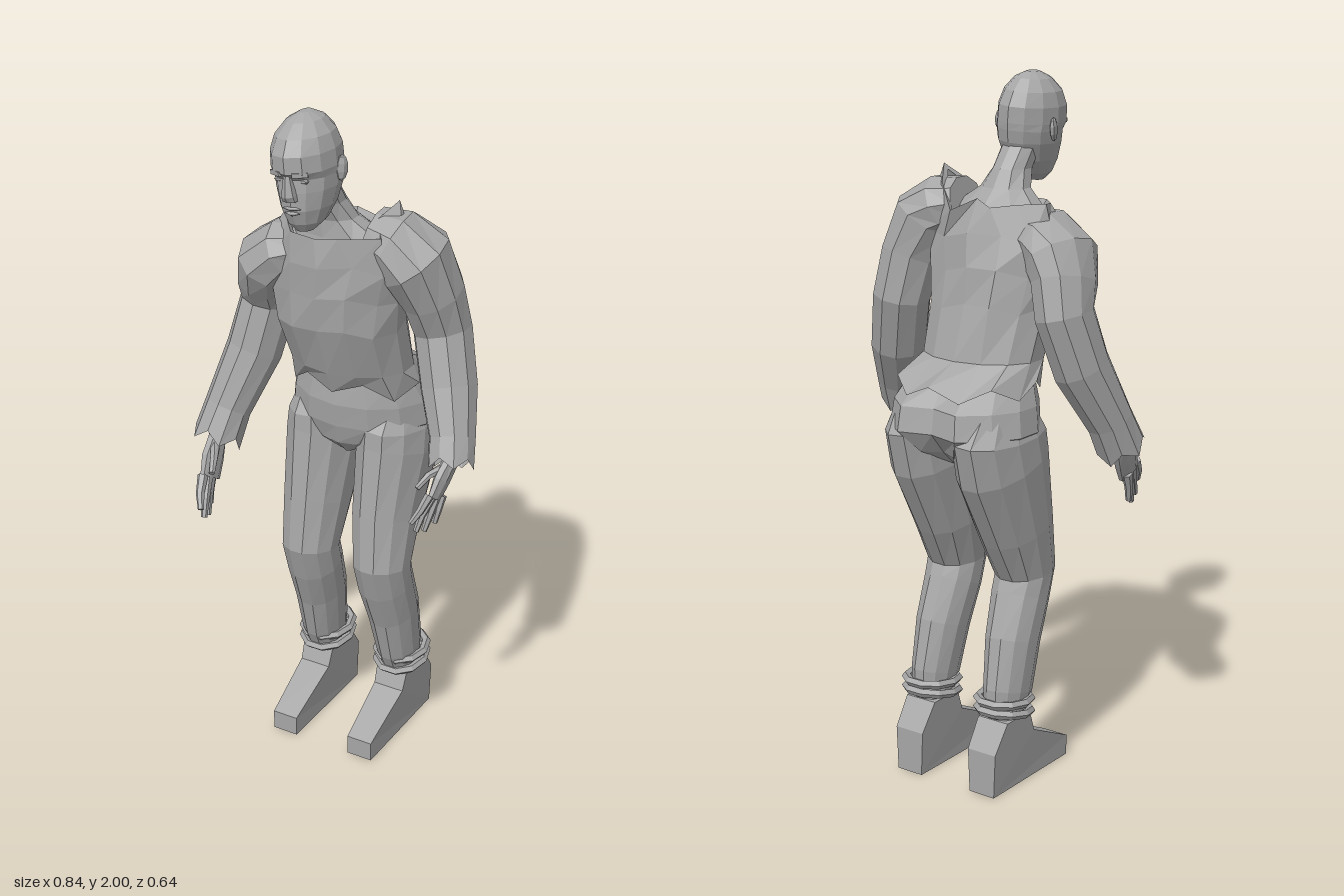
import * as THREE from 'three';

const grey = new THREE.MeshStandardMaterial({ color: 0xa6a6a6, flatShading: true, side: THREE.DoubleSide });
grey.name = 'plain grey';
const V = (x, y, z) => new THREE.Vector3(x, y, z);

export function createModel() {
  const model = new THREE.Group();
  model.name = 'stoopingMan';

  const add = (name, geo, parent = model) => {
    const m = new THREE.Mesh(geo, grey);
    m.name = name;
    parent.add(m);
    return m;
  };

  // Skin a list of rings (arrays of points); ends are closed on request
  function loft(rings, capStart = true, capEnd = true) {
    const n = rings[0].length, pos = [];
    const tri = (...p) => p.forEach(v => pos.push(v.x, v.y, v.z));
    for (let r = 0; r + 1 < rings.length; r++) {
      for (let i = 0; i < n; i++) {
        const j = (i + 1) % n, a = rings[r], b = rings[r + 1];
        tri(a[i], a[j], b[j]);
        tri(a[i], b[j], b[i]);
      }
    }
    const cap = (ring, flip) => {
      const c = ring.reduce((s, p) => s.add(p), V(0, 0, 0)).divideScalar(n);
      for (let i = 0; i < n; i++) {
        const p = ring[i], q = ring[(i + 1) % n];
        flip ? tri(c, q, p) : tri(c, p, q);
      }
    };
    if (capStart) cap(rings[0], true);
    if (capEnd) cap(rings[rings.length - 1], false);
    const g = new THREE.BufferGeometry();
    g.setAttribute('position', new THREE.Float32BufferAttribute(pos, 3));
    g.computeVertexNormals();
    return g;
  }

  // Level ring, starting at the front and turning towards +x
  const level = (n, y, cx, cz, rx, rz, rule) => Array.from({ length: n }, (_, i) => {
    const a = i / n * Math.PI * 2;
    const p = V(cx + Math.sin(a) * rx, y, cz + Math.cos(a) * rz);
    if (rule) rule(p, i);
    return p;
  });

  // Limb through stations [x, y, z, sideRadius, depthRadius]
  function limb(st, n, jag = 0, capEnd = true) {
    const pts = st.map(s => V(s[0], s[1], s[2]));
    const rings = st.map((s, k) => {
      const t = pts[Math.min(k + 1, pts.length - 1)].clone().sub(pts[Math.max(k - 1, 0)]).normalize();
      const v = V(0, 0, 1).addScaledVector(t, -t.z).normalize();
      const u = v.clone().cross(t);
      return Array.from({ length: n }, (_, i) => {
        const a = (i + 0.5) / n * Math.PI * 2;
        const p = pts[k].clone().addScaledVector(u, Math.cos(a) * s[3]).addScaledVector(v, Math.sin(a) * s[4]);
        if (jag && k === st.length - 1) p.addScaledVector(t, i % 2 ? jag : -jag);
        return p;
      });
    });
    return loft(rings, true, capEnd);
  }

  // Head, rolled slightly about its own centre: [y, front z, back z, half width]
  const head = new THREE.Group();
  head.name = 'head';
  head.rotation.z = 0.08;
  head.position.set(0.148, 0.008, 0);
  model.add(head);
  add('skull', loft([
    [1.695, 0.215, 0.16, 0.025], [1.72, 0.235, 0.11, 0.052], [1.76, 0.25, 0.07, 0.07],
    [1.81, 0.252, 0.045, 0.083], [1.845, 0.25, 0.038, 0.087], [1.865, 0.268, 0.036, 0.089],
    [1.91, 0.268, 0.036, 0.087], [1.95, 0.245, 0.055, 0.075], [1.983, 0.205, 0.085, 0.048], [2.0, 0.165, 0.12, 0.015],
  ].map(([y, f, b, w]) => level(12, y, -0.03, (f + b) / 2, w, (f - b) / 2))), head);
  add('nose', loft([
    level(6, 1.79, -0.03, 0.25, 0.022, 0.016), level(6, 1.805, -0.03, 0.254, 0.021, 0.021),
    level(6, 1.86, -0.03, 0.256, 0.01, 0.008)]), head);
  for (const [name, y, r] of [['upperLip', 1.768, 0.03], ['lowerLip', 1.755, 0.025]]) {
    const lip = add(name, new THREE.OctahedronGeometry(1), head);
    lip.scale.set(r, 0.008, 0.012);
    lip.position.set(-0.03, y, 0.246);
  }
  for (const s of [-1, 1]) {
    const brow = add('brow', new THREE.BoxGeometry(0.042, 0.012, 0.014), head);
    brow.position.set(-0.03 + s * 0.035, 1.863, 0.249);
    brow.rotation.set(0, s * 0.5, s * -0.05);
    const eye = add('eye', new THREE.IcosahedronGeometry(1), head);
    eye.scale.set(0.016, 0.008, 0.008);
    eye.position.set(-0.03 + s * 0.037, 1.842, 0.236);
    const ear = add('ear', new THREE.SphereGeometry(1, 6, 5), head);
    ear.scale.set(0.011, 0.034, 0.021);
    ear.position.set(-0.03 + s * 0.089, 1.852, 0.132);
    ear.rotation.set(-0.2, s * -0.35, 0);
  }

  // Neck flaring into the upper chest inside the collar
  add('neck', loft([
    level(10, 1.56, -0.01, 0.015, 0.18, 0.105), level(10, 1.64, -0.015, 0.025, 0.14, 0.08),
    level(10, 1.69, -0.02, 0.045, 0.075, 0.06), level(10, 1.74, -0.025, 0.07, 0.055, 0.06),
    level(10, 1.8, -0.03, 0.105, 0.055, 0.055)]));

  // Shirt with ragged hem and torn, lopsided collar
  const fold = (p, i) => { p.z += Math.sin(i * 2.3 + p.y * 17) * 0.008; p.y += Math.sin(i * 1.9) * 0.014; };
  const collar = [
    [-0.02, 1.65, 0.145], [0.05, 1.66, 0.14], [0.16, 1.67, 0.1], [0.12, 1.7, 0.05], [0.16, 1.745, 0],
    [0.125, 1.7, -0.055], [0.06, 1.635, -0.105], [-0.01, 1.67, -0.075], [-0.06, 1.65, -0.085], [-0.13, 1.66, -0.05],
    [-0.2, 1.665, -0.02], [-0.18, 1.66, 0.03], [-0.14, 1.655, 0.08], [-0.1, 1.65, 0.13],
  ].map(p => V(...p));
  add('shirt', loft([
    level(14, 1.165, -0.01, -0.115, 0.205, 0.185, (p, i) => { p.y += (i % 2 ? 0.02 : -0.018) + Math.max(0, p.z) * 0.3; }),
    level(14, 1.235, -0.01, -0.045, 0.185, 0.14),
    level(14, 1.38, -0.015, 0, 0.19, 0.15, fold),
    level(14, 1.48, -0.015, 0.012, 0.205, 0.142, fold),
    level(14, 1.57, -0.005, 0.02, 0.22, 0.13, fold),
    collar], false, false));
  // Rolled-in collar edge
  add('collarEdge', loft([collar, collar.map(p => V(p.x * 0.92, p.y - 0.018, p.z * 0.9 + 0.002))], false, false));

  // Trouser seat, narrowing to the crotch, with a crease at the back
  const crease = (p, i) => { if (i === 7) p.z += 0.03; if (i === 6 || i === 8) p.z -= 0.015; };
  add('trouserSeat', loft([
    level(14, 0.94, -0.015, -0.1, 0.03, 0.08),
    level(14, 0.99, -0.015, -0.118, 0.13, 0.15, crease),
    level(14, 1.05, -0.012, -0.135, 0.224, 0.183, crease),
    level(14, 1.12, -0.01, -0.125, 0.214, 0.18, crease),
    level(14, 1.19, -0.01, -0.095, 0.185, 0.14)]));

  // Legs, ankle rings and boots: [side, hip x, knee x, ankle x]
  for (const [side, hx, kx, ax] of [['right', -0.128, -0.128, -0.14], ['left', 0.102, 0.112, 0.119]]) {
    const lean = Math.sign(hx) * 0.012;
    add(side + 'TrouserLeg', limb([
      [hx + lean, 1.12, -0.125, 0.065, 0.12], [hx, 1.04, -0.136, 0.104, 0.173], [hx, 0.95, -0.118, 0.108, 0.165],
      [hx, 0.75, -0.052, 0.095, 0.124], [kx, 0.61, -0.008, 0.083, 0.095], [kx, 0.54, -0.03, 0.081, 0.09],
      [(kx + ax) / 2, 0.42, -0.075, 0.073, 0.09], [ax, 0.28, -0.108, 0.062, 0.085], [ax, 0.2, -0.125, 0.053, 0.065]], 12));
    for (const [y, tilt] of [[0.225, 0.16], [0.258, 0.08]]) {
      const ring = add(side + 'AnkleRing', new THREE.TorusGeometry(0.073, 0.013, 5, 10).rotateX(Math.PI / 2));
      ring.position.set(ax, y, -0.125);
      ring.scale.z = 1.12;
      ring.rotation.x = tilt;
    }
    const profile = new THREE.Shape([[-0.24, 0], [0.13, 0], [0.13, 0.06], [-0.05, 0.145], [-0.075, 0.21], [-0.185, 0.21], [-0.24, 0.13]]
      .map(p => new THREE.Vector2(...p)));
    const boot = new THREE.ExtrudeGeometry(profile, { depth: 1, bevelEnabled: false }).translate(0, 0, -0.5).rotateY(-Math.PI / 2);
    const p = boot.attributes.position;
    for (let i = 0; i < p.count; i++) p.setX(i, p.getX(i) * (p.getZ(i) > 0 ? 0.08 : 0.085 + p.getY(i) * 0.08));
    boot.computeVertexNormals();
    add(side + 'Boot', boot).position.x = ax - 0.004;
  }

  // Sleeves ending in ragged, flared cuffs
  add('rightSleeve', limb([
    [-0.09, 1.585, 0.03, 0.06, 0.085], [-0.16, 1.565, 0.033, 0.085, 0.112], [-0.215, 1.52, 0.03, 0.095, 0.122],
    [-0.245, 1.45, 0.005, 0.085, 0.106], [-0.262, 1.37, -0.018, 0.08, 0.094], [-0.29, 1.22, 0.025, 0.08, 0.088],
    [-0.333, 1.06, 0.105, 0.068, 0.07], [-0.345, 0.975, 0.147, 0.071, 0.074]], 10, 0.016, false));
  add('leftSleeve', limb([
    [0.09, 1.645, 0.01, 0.07, 0.085], [0.15, 1.63, 0.005, 0.09, 0.11], [0.21, 1.585, -0.005, 0.102, 0.122],
    [0.245, 1.48, -0.04, 0.086, 0.102], [0.262, 1.37, -0.067, 0.082, 0.088], [0.304, 1.22, -0.03, 0.08, 0.083],
    [0.346, 1.1, 0.025, 0.065, 0.067], [0.358, 1.035, 0.055, 0.065, 0.066]], 10, 0.014, false));

  // Hands: s mirrors x, k scales the reach; fingers hang forward and down
  function hand(name, x, y, z, s, k) {
    const g = new THREE.Group();
    g.name = name;
    g.position.set(x, y, z);
    g.scale.set(s * k, k, k);
    model.add(g);
    add('palm', limb([
      [0, 0.06, -0.04, 0.03, 0.032], [0, 0, 0, 0.024, 0.031],
      [0.01, -0.06, 0.05, 0.023, 0.046], [0.018, -0.11, 0.08, 0.016, 0.044]], 8), g);
    const fingers = [
      [[0.018, -0.085, 0.115], [0.03, -0.125, 0.15], [0.048, -0.16, 0.175]],
      [[0.02, -0.1, 0.095], [0.034, -0.15, 0.13], [0.042, -0.198, 0.152]],
      [[0.016, -0.11, 0.075], [0.024, -0.165, 0.1], [0.032, -0.21, 0.118]],
      [[0.006, -0.11, 0.053], [0.01, -0.155, 0.07], [0.016, -0.195, 0.08]],
      [[0.008, -0.02, 0.03], [0.038, -0.035, 0.085], [0.055, -0.065, 0.125]],
    ];
    fingers.forEach((f, i) => add(i < 4 ? 'finger' : 'thumb',
      limb(f.map((q, j) => [...q, 0.015 - j * 0.003, 0.016 - j * 0.0035]), 6), g));
  }
  hand('rightHand', -0.345, 0.99, 0.14, 1, 1);
  hand('leftHand', 0.358, 1.05, 0.045, -1, 0.9);

  return model;
}
